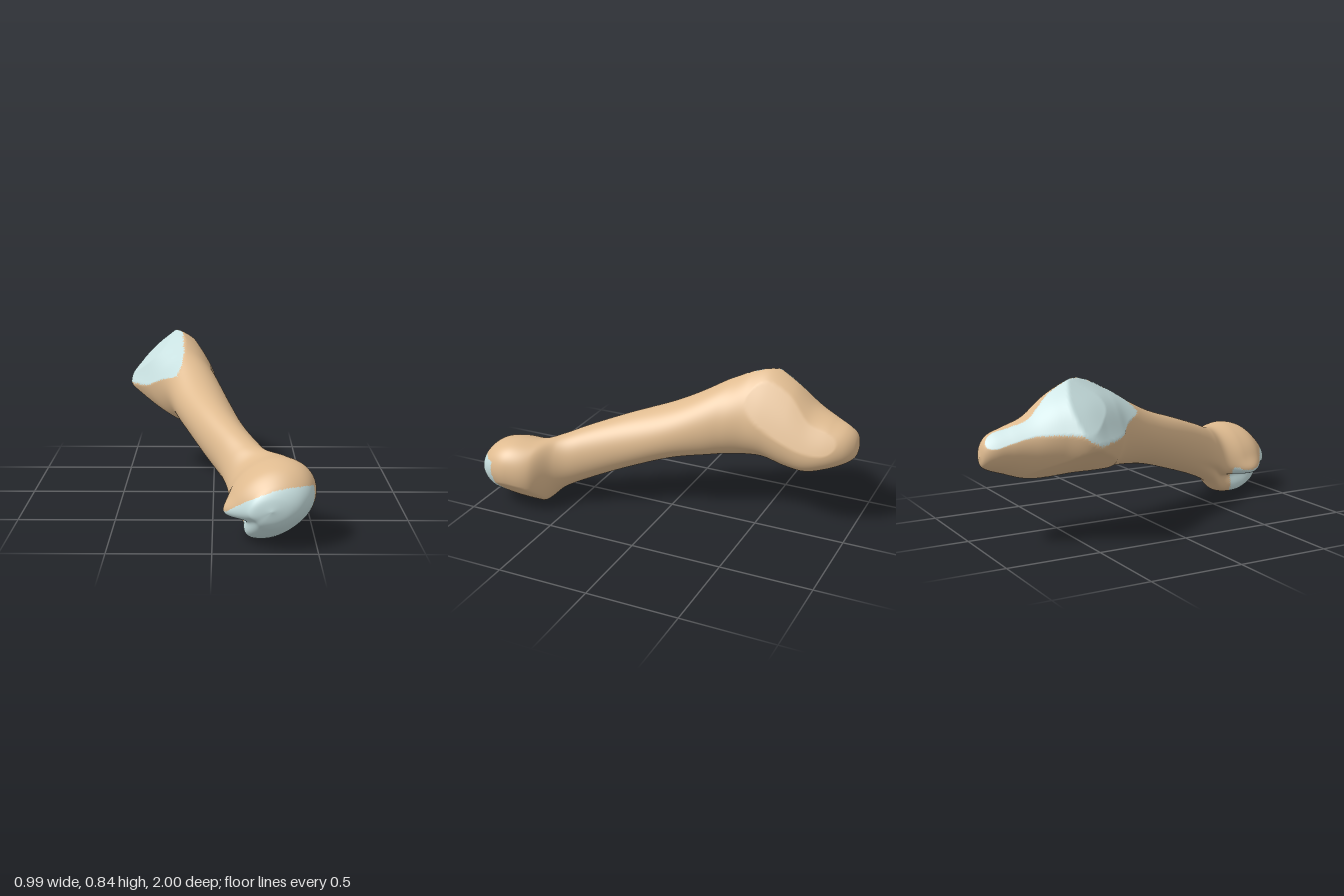
import * as THREE from 'three';

// Cross-sections along the bone: z, xMin, xMax, yMin, yMax, skew of the oval
const SECTIONS = [
  [-1.0, -0.19, -0.19, 0.475, 0.475, -0.2],
  [-0.985, -0.235, -0.13, 0.425, 0.545, -0.2],
  [-0.94, -0.27, -0.07, 0.395, 0.59, -0.25],
  [-0.86, -0.3, -0.02, 0.365, 0.62, -0.3],
  [-0.75, -0.345, 0.005, 0.33, 0.67, -0.3],
  [-0.63, -0.42, 0.01, 0.325, 0.78, -0.25],
  [-0.5, -0.515, 0.005, 0.335, 0.855, -0.2],
  [-0.4, -0.465, 0.0, 0.335, 0.84, -0.2],
  [-0.3, -0.385, 0.02, 0.335, 0.775, -0.2],
  [-0.2, -0.28, 0.05, 0.33, 0.71, -0.2],
  [0.0, -0.2, 0.11, 0.3, 0.61, -0.2],
  [0.25, -0.09, 0.185, 0.22, 0.525, -0.2],
  [0.45, 0.01, 0.27, 0.145, 0.455, -0.15],
  [0.57, 0.06, 0.34, 0.085, 0.41, 0.0],
  [0.66, 0.08, 0.46, 0.01, 0.395, 0.15],
  [0.78, 0.07, 0.5, 0.003, 0.402, 0.25],
  [0.88, 0.095, 0.485, 0.04, 0.38, 0.25],
  [0.95, 0.155, 0.44, 0.095, 0.325, 0.2],
  [0.985, 0.19, 0.38, 0.14, 0.27, 0.2],
  [1.0, 0.28, 0.28, 0.205, 0.205, 0.2],
];

// Planes that flatten the ends; the two joint faces of the base meet in a ridge
const CUTS = [
  { n: [-0.65, 0.68, -0.45], d: 0.955, end: -1, kind: 'baseJointSurface' },
  { n: [-0.68, 0.644, 0.35], d: 0.505, end: -1, kind: 'baseJointSurface' },
  { n: [-0.49, -0.87, 0], d: -0.207, end: -1, kind: 'shaft' },
  { n: [0.87, 0.5, -0.2], d: 0.388, end: -1, kind: 'shaft' },
  { n: [0.64, -0.77, 0], d: 0.172, end: 1, kind: 'shaft' },
].map((cut) => ({ ...cut, n: new THREE.Vector3(...cut.n) }));
const DOME = 0.3; // share of the cut-off height that stays as a soft bulge

const AROUND = 128;
const ALONG = 220;

const bell = (value, middle, width) => Math.exp(-(((value - middle) / width) ** 2));

function buildSurface() {
  const widths = new THREE.CatmullRomCurve3(
    SECTIONS.map((s) => new THREE.Vector3(s[0], s[1], s[2])), false, 'catmullrom');
  const heights = new THREE.CatmullRomCurve3(
    SECTIONS.map((s) => new THREE.Vector3(s[3], s[4], s[5])), false, 'catmullrom');
  const positions = [];
  const region = [];

  for (let i = 0; i <= ALONG; i++) {
    const w = widths.getPoint(i / ALONG);
    const h = heights.getPoint(i / ALONG);
    const z = w.x;
    const centre = new THREE.Vector3((w.y + w.z) / 2, (h.x + h.y) / 2, z);
    for (let j = 0; j < AROUND; j++) {
      const t = (j / AROUND) * Math.PI * 2;
      const offset = new THREE.Vector3(
        ((w.z - w.y) / 2) * Math.cos(t), ((h.y - h.x) / 2) * Math.sin(t + h.z), 0);

      // groove between the two lobes of the head, and the knob beside it
      const angle = Math.atan2(-offset.y, -offset.x);
      const groove = bell(angle, 0.6, 0.25) * bell(z, 0.77, 0.18);
      const knob = bell(angle, 0.24, 0.22) * bell(z, 0.83, 0.08);
      offset.multiplyScalar(1 - 0.36 * groove + 0.14 * knob);

      // flatten against the cuts
      let kind = 'shaft';
      for (const cut of CUTS) {
        const reach = cut.n.dot(offset);
        const room = cut.d - cut.n.dot(centre);
        if (z * cut.end > 0 && reach > room && room > 0) {
          offset.multiplyScalar((room + DOME * (reach - room)) / reach);
          kind = cut.kind;
        }
      }
      const p = offset.add(centre);

      // cartilage on the front and underside of the head
      const rim = 0.31 - 1.4 * (p.x - 0.39) ** 2;
      if (z > 0.86 - 0.45 * (0.46 - p.x) && p.y < rim) kind = 'headJointSurface';
      positions.push(p.x, p.y, p.z);
      region.push(kind);
    }
  }
  return { positions, region };
}

export function createModel() {
  const model = new THREE.Group();
  model.name = 'footBone';
  const { positions, region } = buildSurface();

  // sort the triangles by region
  const faces = { shaft: [], baseJointSurface: [], headJointSurface: [] };
  const all = [];
  const addFace = (a, b, c) => {
    const kind = region[a] === region[b] || region[a] === region[c] ? region[a] : region[b];
    faces[kind].push(a, b, c);
    all.push(a, b, c);
  };
  for (let i = 0; i < ALONG; i++) {
    for (let j = 0; j < AROUND; j++) {
      const a = i * AROUND + j;
      const b = i * AROUND + ((j + 1) % AROUND);
      if (i > 0) addFace(a, b, a + AROUND);
      if (i < ALONG - 1) addFace(b, b + AROUND, a + AROUND);
    }
  }

  // shared smooth normals keep the seams between regions invisible
  const whole = new THREE.BufferGeometry();
  whole.setAttribute('position', new THREE.Float32BufferAttribute(positions, 3));
  whole.setIndex(all);
  whole.computeVertexNormals();
  const normals = whole.getAttribute('normal');
  for (let j = 0; j < AROUND; j++) {
    normals.setXYZ(j, 0, 0, -1);
    normals.setXYZ(ALONG * AROUND + j, 0, 0, 1);
  }

  const bone = new THREE.MeshStandardMaterial({ color: 0xdfbb90 });
  const cartilage = new THREE.MeshStandardMaterial({ color: 0xc8e0e0 });
  for (const [name, index] of Object.entries(faces)) {
    const geometry = new THREE.BufferGeometry();
    geometry.setAttribute('position', whole.getAttribute('position'));
    geometry.setAttribute('normal', normals);
    geometry.setIndex(index);
    const mesh = new THREE.Mesh(geometry, name === 'shaft' ? bone : cartilage);
    mesh.name = name;
    model.add(mesh);
  }
  return model;
}
